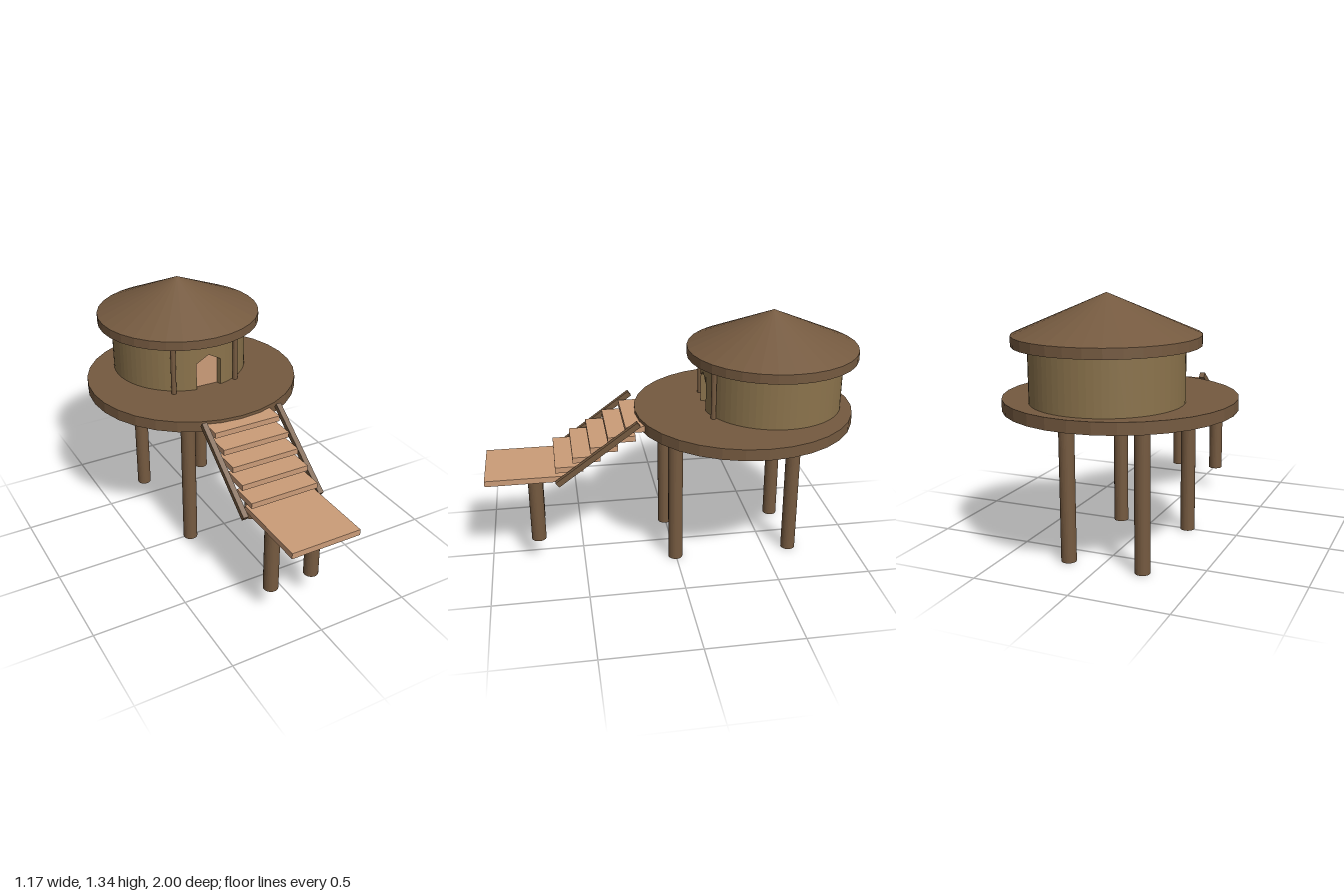
import * as THREE from 'three';

const paint = (color) => new THREE.MeshStandardMaterial({ color, flatShading: true });
const SIDES = 32;

export function createModel() {
  const model = new THREE.Group();
  const brown = paint(0x755a40), olive = paint(0x8b734c), tan = paint(0xcb9c78);

  const add = (name, geometry, material, x, y, z) => {
    const mesh = new THREE.Mesh(geometry, material);
    mesh.name = name;
    mesh.position.set(x, y, z);
    model.add(mesh);
    return mesh;
  };
  // Upright cylinder between two heights
  const post = (name, r, y0, y1, x, z, sides = SIDES) =>
    add(name, new THREE.CylinderGeometry(r, r, y1 - y0, sides), brown, x, (y0 + y1) / 2, z);

  // Deck on four legs
  const deckTop = 0.815, deckBase = 0.755;
  post('deck', 0.586, deckBase, deckTop, 0, -0.39);
  for (const x of [-0.22, 0.178])
    for (const z of [0.003, -0.64]) post('deckLeg', 0.039, 0, deckBase, x, z);

  // Round hut wall, open at the doorway
  const hutZ = -0.545, wallR = 0.377, wallIn = 0.347, eave = 1.09, doorHalf = 0.073;
  const gap = Math.asin(doorHalf / wallR);
  const start = -Math.PI / 2 + gap, end = 1.5 * Math.PI - gap;
  const ring = new THREE.Shape();
  ring.absarc(0, 0, wallR, start, end, false);
  ring.absarc(0, 0, wallIn, end, start, true);
  const wall = new THREE.ExtrudeGeometry(ring, {
    depth: eave - deckTop, bevelEnabled: false, curveSegments: SIDES,
  }).rotateX(-Math.PI / 2);
  add('wall', wall, olive, 0, deckTop, hutZ);

  // Wall above the doorway, with a pointed arch
  const lintel = new THREE.Shape([
    [-doorHalf, 0.97], [0, 1.01], [doorHalf, 0.97], [doorHalf, eave], [-doorHalf, eave],
  ].map(([x, y]) => new THREE.Vector2(x, y)));
  add('doorLintel', new THREE.ExtrudeGeometry(lintel, { depth: 0.03, bevelEnabled: false }),
    olive, 0, 0, hutZ + wallR - 0.035);

  // Pointed door set back in the opening
  const door = new THREE.Shape([
    [-0.062, deckTop], [0.076, deckTop], [0.076, 0.97], [0, 1.012], [-0.062, 0.978],
  ].map(([x, y]) => new THREE.Vector2(x, y)));
  add('door', new THREE.ExtrudeGeometry(door, { depth: 0.015, bevelEnabled: false }),
    tan, 0, 0, hutZ + wallIn - 0.022);

  // Porch posts
  for (const x of [-0.202, 0.176]) post('porchPost', 0.014, deckTop, eave, x, -0.196, 12);

  // Roof rim and cone
  post('roofRim', 0.455, eave, 1.14, 0, hutZ);
  add('roof', new THREE.ConeGeometry(0.455, 0.195, SIDES), brown, 0, 1.2375, hutZ);

  // Landing on two short legs
  const stairX = -0.005, stairW = 0.38, thick = 0.031;
  add('landing', new THREE.BoxGeometry(stairW, thick, 0.43), tan, stairX, 0.53, 0.785);
  for (const x of [-0.14, 0.1]) post('landingLeg', 0.039, 0.138, 0.52, x, 0.742);

  // Stair treads
  for (let i = 0; i < 5; i++)
    add('tread', new THREE.BoxGeometry(stairW, thick, 0.145), tan,
      stairX, 0.58 + i * 0.0505, 0.563 - i * 0.0925);

  // Sloping side rails
  for (const x of [-0.226, 0.212])
    add('stairRail', new THREE.BoxGeometry(0.028, 0.03, 0.53), brown, x, 0.67, 0.414)
      .rotation.x = Math.atan2(0.31, 0.427);

  return model;
}
